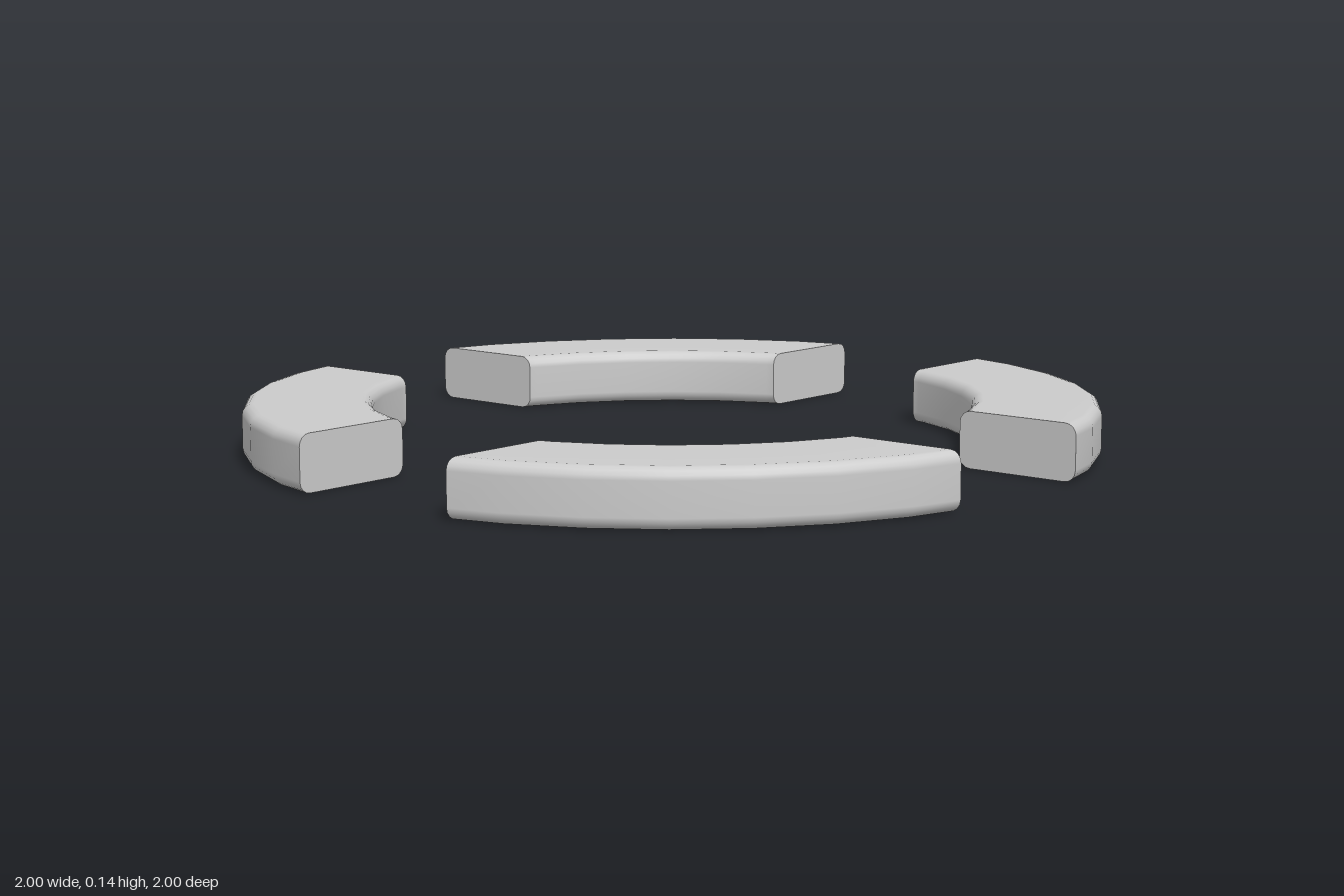
import * as THREE from 'three';

const INNER = 0.722, OUTER = 1.028, HEIGHT = 0.135, CORNER = 0.028;
const GAP = 0.227; // half width of the straight gaps between segments
const STEP = Math.PI / 18;

// Rounded-rectangle section as [radius, y], counter-clockwise
function sectionPoints() {
  const points = [];
  const corners = [
    [OUTER - CORNER, CORNER, -0.5], [OUTER - CORNER, HEIGHT - CORNER, 0],
    [INNER + CORNER, HEIGHT - CORNER, 0.5], [INNER + CORNER, CORNER, 1],
  ];
  for (const [r, y, start] of corners) {
    for (let k = 0; k <= 4; k++) {
      const a = (start + k / 8) * Math.PI;
      points.push([r + CORNER * Math.cos(a), y + CORNER * Math.sin(a)]);
    }
  }
  return points;
}

// Point on the faceted ring at station 1..8; the first and last lie on the gap planes
function ringPoint(r, y, station) {
  if (station === 8) {
    const p = ringPoint(r, y, 1);
    return new THREE.Vector3(p.z, y, p.x);
  }
  const at = (s) => new THREE.Vector3(r * Math.sin(s * STEP), y, r * Math.cos(s * STEP));
  if (station > 1) return at(station);
  const a = at(1), b = at(2);
  return a.lerp(b, (GAP - a.x) / (b.x - a.x));
}

function segmentGeometry() {
  const section = sectionPoints(), n = section.length;
  const positions = [], index = [];
  const addRing = (station) => {
    const base = positions.length / 3;
    for (const [r, y] of section) positions.push(...ringPoint(r, y, station).toArray());
    return base;
  };

  // Smooth swept skin
  for (let s = 1; s <= 8; s++) addRing(s);
  for (let i = 0; i < 7; i++) {
    for (let j = 0; j < n; j++) {
      const k = (j + 1) % n;
      const a = i * n + j, b = (i + 1) * n + j, c = (i + 1) * n + k, d = i * n + k;
      index.push(a, b, c, a, c, d);
    }
  }

  // Flat end caps with their own vertices
  const first = addRing(1), last = addRing(8);
  for (let j = 1; j < n - 1; j++) {
    index.push(first, first + j, first + j + 1, last, last + j + 1, last + j);
  }

  const geometry = new THREE.BufferGeometry();
  geometry.setAttribute('position', new THREE.Float32BufferAttribute(positions, 3));
  geometry.setIndex(index);
  geometry.computeVertexNormals();
  return geometry;
}

export function createModel() {
  const group = new THREE.Group();
  group.name = 'segmentedRing';
  const geometry = segmentGeometry();
  const material = new THREE.MeshStandardMaterial({ color: 0xcccccc });
  const names = ['frontLeftSegment', 'backLeftSegment', 'backRightSegment', 'frontRightSegment'];
  names.forEach((name, i) => {
    const segment = new THREE.Mesh(geometry, material);
    segment.name = name;
    segment.rotation.y = i * Math.PI / 2;
    group.add(segment);
  });
  return group;
}
